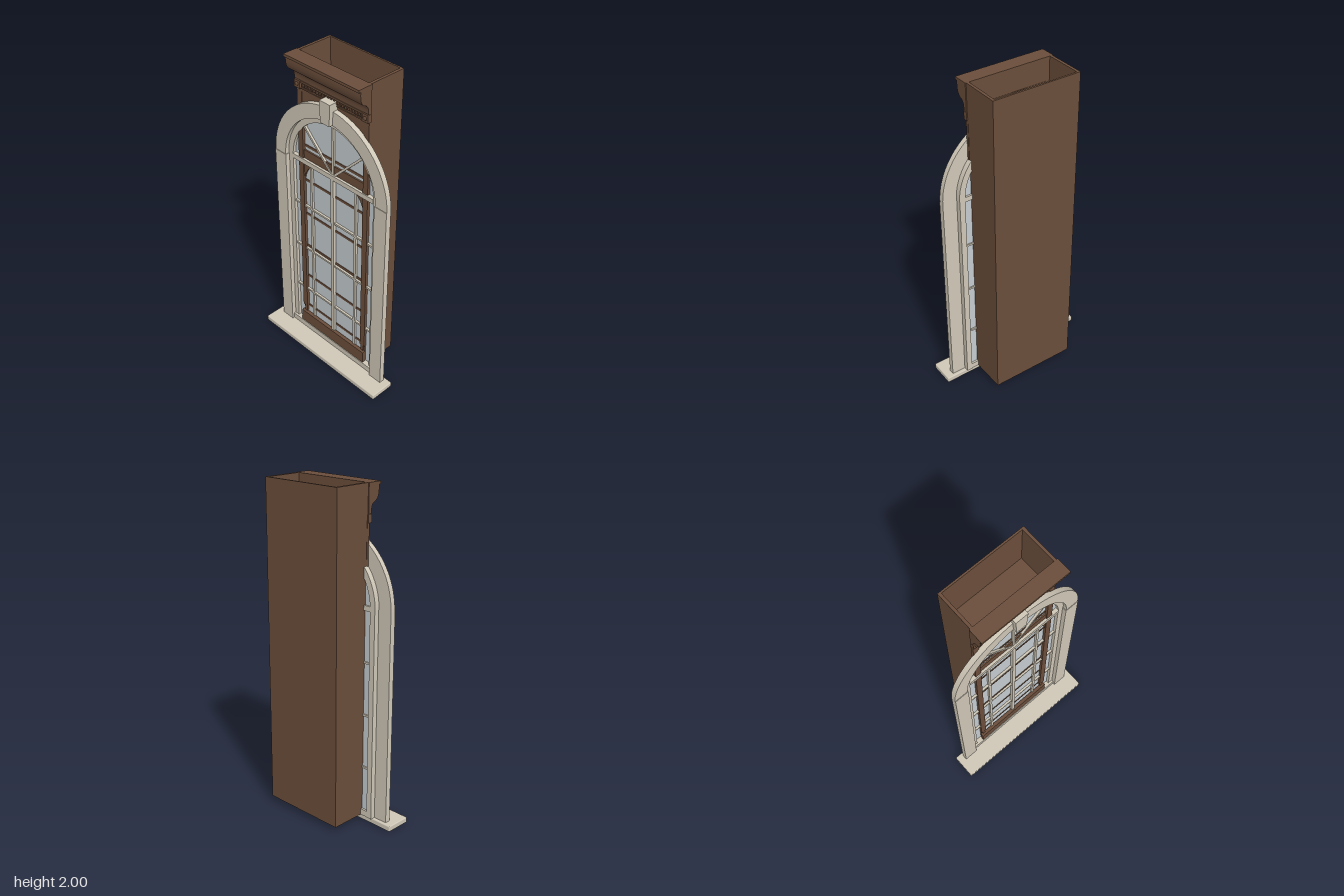
import * as THREE from 'three';
import { RoundedBoxGeometry } from 'three/addons/geometries/RoundedBoxGeometry.js';

const SPRING = 1.32; // height where the arches begin

export function createModel() {
  const model = new THREE.Group();
  model.name = 'archedWindowWithBookcase';
  const material = (name, color, side = THREE.FrontSide) => {
    const m = new THREE.MeshStandardMaterial({ color, side });
    m.name = name;
    return m;
  };
  const stone = material('paleStone', 0xd0c8b8);
  const wood = material('brownWood', 0x6b4e3b);
  const pane = material('paleGlass', 0xc6cdd0, THREE.DoubleSide);

  const add = (parent, name, geometry, mat) => {
    const mesh = new THREE.Mesh(geometry, mat);
    mesh.name = name;
    parent.add(mesh);
    return mesh;
  };
  // Box given by its limits on each axis
  const box = (parent, name, mat, x0, x1, y0, y1, z0, z1) => {
    const mesh = add(parent, name, new THREE.BoxGeometry(x1 - x0, y1 - y0, z1 - z0), mat);
    mesh.position.set((x0 + x1) / 2, (y0 + y1) / 2, (z0 + z1) / 2);
    return mesh;
  };
  const pair = (parent, name, mat, x0, x1, y0, y1, z0, z1) => {
    box(parent, name + 'Left', mat, x0, x1, y0, y1, z0, z1);
    box(parent, name + 'Right', mat, -x1, -x0, y0, y1, z0, z1);
  };
  const extrude = (parent, name, mat, shape, z0, z1) => {
    const mesh = add(parent, name, new THREE.ExtrudeGeometry(shape,
      { depth: z1 - z0, bevelEnabled: false, curveSegments: 32 }), mat);
    mesh.position.z = z0;
    return mesh;
  };
  const halfRing = (outer, inner) => {
    const s = new THREE.Shape();
    s.absarc(0, SPRING, outer, 0, Math.PI, false);
    s.absarc(0, SPRING, inner, Math.PI, 0, true);
    s.closePath();
    return s;
  };

  // ---- Window ----
  const win = new THREE.Group();
  win.name = 'window';
  model.add(win);

  const sill = add(win, 'sill', new RoundedBoxGeometry(0.98, 0.035, 0.16, 2, 0.006), stone);
  sill.position.set(0, 0.0175, 0.11);

  // Outer casing and the recessed frame inside it
  pair(win, 'casing', stone, 0.353, 0.443, 0.035, SPRING, 0.05, 0.084);
  extrude(win, 'casingArch', stone, halfRing(0.443, 0.357), 0.05, 0.081);
  pair(win, 'frameJamb', stone, 0.32, 0.355, 0.035, SPRING, 0.018, 0.056);
  extrude(win, 'frameArch', stone, halfRing(0.357, 0.32), 0.018, 0.056);
  box(win, 'bottomRail', stone, -0.355, 0.355, 0.035, 0.073, 0.02, 0.07);
  box(win, 'transom', stone, -0.32, 0.32, 1.305, 1.335, 0.02, 0.06);

  const key = new THREE.Shape([[-0.034, 1.678], [0.034, 1.678], [0.041, 1.81], [-0.041, 1.81]]
    .map(([x, y]) => new THREE.Vector2(x, y)));
  extrude(win, 'keystone', stone, key, 0.015, 0.106);

  // Glazing bars
  box(win, 'centreMullion', stone, -0.011, 0.011, 0.073, 1.305, 0.024, 0.056);
  pair(win, 'sideMuntin', stone, 0.171, 0.187, 0.073, 1.305, 0.024, 0.05);
  for (const y of [0.35, 0.68, 1.0]) {
    box(win, 'crossMuntin', stone, -0.32, 0.32, y - 0.006, y + 0.006, 0.024, 0.05);
  }
  for (const a of [-Math.PI / 4, 0, Math.PI / 4]) {
    const spoke = add(win, 'fanBar', new THREE.BoxGeometry(0.014, 0.322, 0.026), stone);
    spoke.position.set(-Math.sin(a) * 0.161, SPRING + Math.cos(a) * 0.161, 0.037);
    spoke.rotation.z = a;
  }

  const glass = new THREE.Shape();
  glass.moveTo(-0.32, 0.06);
  glass.lineTo(0.32, 0.06);
  glass.lineTo(0.32, SPRING);
  glass.absarc(0, SPRING, 0.32, 0, Math.PI, false);
  glass.closePath();
  extrude(win, 'glass', pane, glass, 0.032, 0.036);

  // ---- Bookcase ----
  const bookcase = new THREE.Group();
  bookcase.name = 'bookcase';
  model.add(bookcase);

  box(bookcase, 'back', wood, -0.272, 0.272, 0.035, 2, -0.195, -0.184);
  pair(bookcase, 'side', wood, 0.255, 0.272, 0.035, 2, -0.184, 0.043);
  for (const y of [0.205, 0.457, 0.698, 0.94, 1.182, 1.418]) {
    box(bookcase, 'shelf', wood, -0.255, 0.255, y - 0.008, y + 0.008, -0.184, 0.039);
  }
  box(bookcase, 'topDeck', wood, -0.255, 0.255, 1.68, 1.696, -0.184, 0.043);
  box(bookcase, 'baseBoard', wood, -0.275, 0.275, 0.036, 0.155, 0.043, 0.066);
  pair(bookcase, 'stileFoot', wood, 0.243, 0.262, 0.155, 0.2, 0.03, 0.051);
  pair(bookcase, 'stile', wood, 0.237, 0.274, 0.2, 1.8, 0.036, 0.053);
  box(bookcase, 'frieze', wood, -0.24, 0.24, 1.68, 1.86, 0.04, 0.05);

  // Valance with rounded lower corners
  const valance = new THREE.Shape();
  valance.moveTo(0.24, 1.39);
  valance.lineTo(-0.24, 1.39);
  valance.lineTo(-0.24, 1.17);
  valance.quadraticCurveTo(-0.232, 1.275, -0.15, 1.31);
  valance.lineTo(0.15, 1.31);
  valance.quadraticCurveTo(0.232, 1.275, 0.24, 1.17);
  valance.closePath();
  extrude(bookcase, 'valance', wood, valance, 0.03, 0.045);

  // Crown moulding, a side profile swept across the width
  const crown = new THREE.Shape();
  crown.moveTo(0.042, 2);
  crown.lineTo(0.135, 2);
  crown.lineTo(0.135, 1.984);
  crown.lineTo(0.122, 1.984);
  crown.bezierCurveTo(0.124, 1.93, 0.115, 1.905, 0.085, 1.895);
  crown.bezierCurveTo(0.068, 1.885, 0.063, 1.87, 0.063, 1.836);
  crown.lineTo(0.042, 1.832);
  crown.closePath();
  const crownMesh = extrude(bookcase, 'crown', wood, crown, 0, 0.556);
  crownMesh.rotation.y = -Math.PI / 2;
  crownMesh.position.set(0.278, 0, 0);

  // Bead row between two corner blocks with round bosses
  box(bookcase, 'upperFillet', wood, -0.235, 0.235, 1.822, 1.834, 0.045, 0.064);
  box(bookcase, 'lowerFillet', wood, -0.235, 0.235, 1.782, 1.79, 0.045, 0.058);
  for (let i = 0; i < 21; i++) {
    const x = -0.22 + i * 0.022;
    box(bookcase, 'bead', wood, x - 0.006, x + 0.006, 1.798, 1.814, 0.045, 0.06);
  }
  pair(bookcase, 'cornerBlock', wood, 0.234, 0.278, 1.785, 1.832, 0.04, 0.067);
  for (const x of [-0.256, 0.256]) {
    const boss = add(bookcase, 'cornerBoss', new THREE.SphereGeometry(0.012, 12, 8), wood);
    boss.position.set(x, 1.808, 0.067);
    boss.scale.z = 0.5;
  }
  return model;
}
